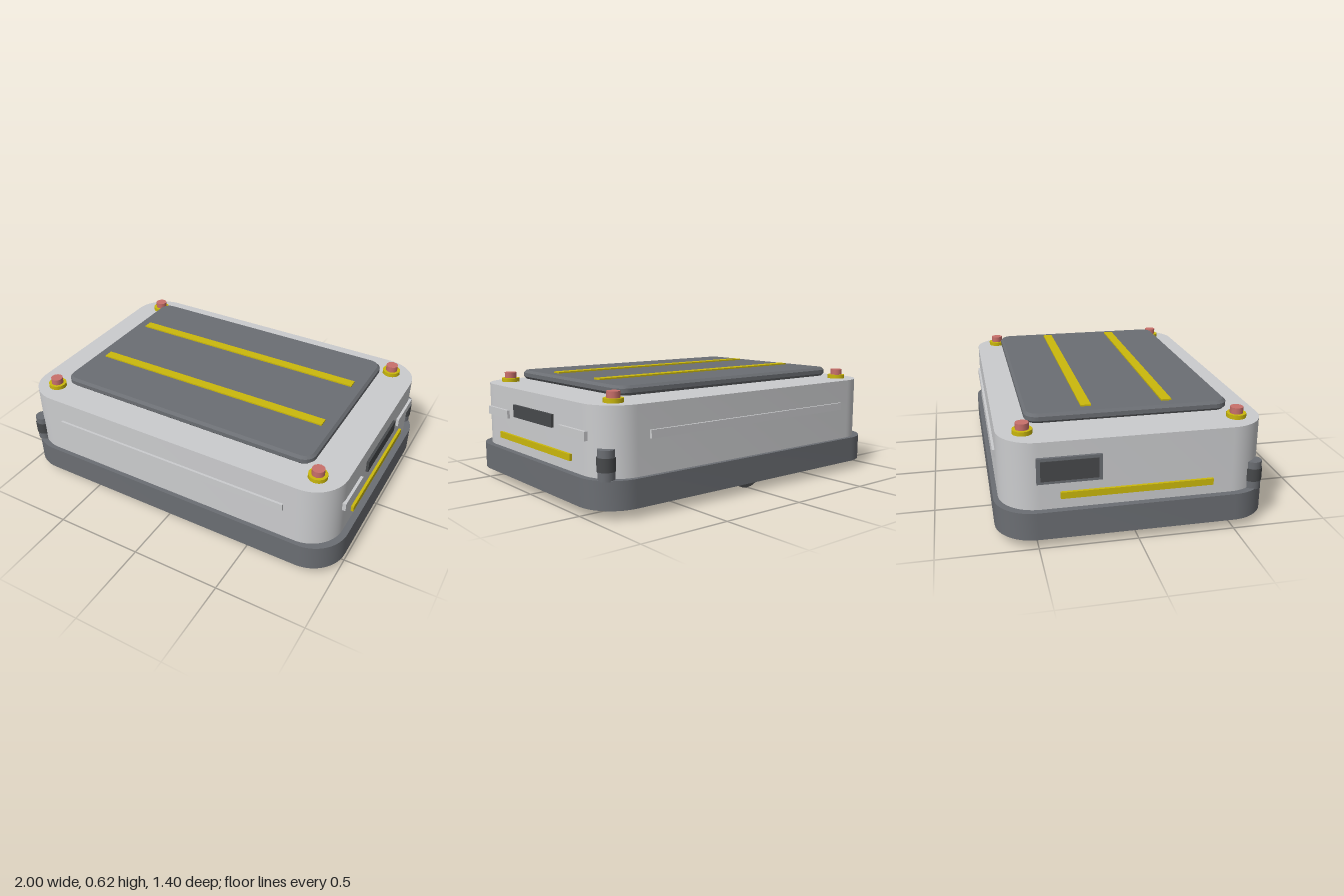
import * as THREE from 'three';
import { toCreasedNormals } from 'three/addons/utils/BufferGeometryUtils.js';

const material = (name, color) => {
  const m = new THREE.MeshStandardMaterial({ color });
  m.name = name;
  return m;
};

// Rounded rectangle slab lying flat, from y0 to y1, with an optional chamfer
function slab(hx, hz, radius, y0, y1, bevel = 0) {
  const x = hx - bevel, z = hz - bevel, r = radius - bevel;
  const s = new THREE.Shape();
  s.absarc(x - r, z - r, r, 0, Math.PI / 2);
  s.absarc(r - x, z - r, r, Math.PI / 2, Math.PI);
  s.absarc(r - x, r - z, r, Math.PI, Math.PI * 1.5);
  s.absarc(x - r, r - z, r, Math.PI * 1.5, Math.PI * 2);
  s.closePath();
  const g = new THREE.ExtrudeGeometry(s, {
    depth: y1 - y0 - 2 * bevel, curveSegments: 8,
    bevelEnabled: bevel > 0, bevelSize: bevel, bevelThickness: bevel, bevelSegments: 1,
  });
  g.rotateX(-Math.PI / 2).translate(0, y0 + bevel, 0);
  return toCreasedNormals(g, 0.5);
}

export function createModel() {
  const root = new THREE.Group();
  root.name = 'transportRobot';
  const shell = material('light grey', 0xcbccce);
  const grey = material('slate grey', 0x6b6e73);
  const black = material('charcoal', 0x47494b);
  const yellow = material('yellow', 0xcbb80c);
  const red = material('soft red', 0xc9706b);

  const add = (name, geometry, mat) => {
    const mesh = new THREE.Mesh(geometry, mat);
    mesh.name = name;
    root.add(mesh);
    return mesh;
  };
  // Box given by its lower and upper limits
  const box = (name, mat, x0, x1, y0, y1, z0, z1) =>
    add(name, new THREE.BoxGeometry(x1 - x0, y1 - y0, z1 - z0), mat)
      .position.set((x0 + x1) / 2, (y0 + y1) / 2, (z0 + z1) / 2);
  // Upright cylinder from y0 to y1
  const post = (name, mat, r, x, z, y0, y1, sides = 16) =>
    add(name, new THREE.CylinderGeometry(r, r, y1 - y0, sides), mat)
      .position.set(x, (y0 + y1) / 2, z);

  // Main volumes
  add('base', slab(1, 0.7, 0.2, 0.05, 0.195), grey);
  add('body', slab(0.965, 0.675, 0.19, 0.195, 0.545), shell);
  add('liftDeck', slab(0.775, 0.525, 0.07, 0.563, 0.613, 0.014), grey);

  for (const sz of [-1, 1]) {
    box('deckStripe', yellow, -0.705, 0.705, 0.608, 0.621, sz * 0.21 - 0.027, sz * 0.21 + 0.027);
    box('sideBar', shell, -0.705, 0.705, 0.374, 0.416, sz * 0.679 - 0.009, sz * 0.679 + 0.009);
    box('endLight', shell, 0.955, 0.98, 0.37, 0.416, sz * 0.405 - 0.12, sz * 0.405 + 0.12);

    // Drive wheel, mostly hidden in the base
    const wheel = add('driveWheel', new THREE.CylinderGeometry(0.125, 0.125, 0.086, 24), black);
    wheel.rotation.x = Math.PI / 2;
    wheel.position.set(0, 0.127, sz * 0.578);

    for (const sx of [-1, 1]) {
      post('liftPost', shell, 0.042, sx * 0.44, sz * 0.262, 0.54, 0.57);
      post('beaconBase', yellow, 0.051, sx * 0.825, sz * 0.545, 0.54, 0.567, 12);
      post('beaconLamp', red, 0.034, sx * 0.825, sz * 0.545, 0.56, 0.6, 12);
      const caster = add('caster', new THREE.CylinderGeometry(0.046, 0.046, 0.05, 12), black);
      caster.rotation.x = Math.PI / 2;
      caster.position.set(sx * 0.702, 0.05, sz * 0.474);
    }
  }

  // Bumper strips on both ends
  for (const sx of [-1, 1]) {
    box('bumperStrip', yellow, sx * 0.968 - 0.012, sx * 0.968 + 0.012, 0.25, 0.284, -0.385, 0.385);
  }

  // Sensor window on one end, framed screen on the other
  box('sensorWindow', black, 0.955, 0.979, 0.39, 0.458, -0.21, 0.21);
  box('screenFrame', grey, -0.98, -0.955, 0.335, 0.468, -0.5, -0.18);
  box('screenPanel', black, -0.984, -0.978, 0.35, 0.453, -0.482, -0.198);

  // Scanners on two opposite corners
  for (const s of [-1, 1]) {
    post('scannerHousing', grey, 0.043, s * 0.918, -s * 0.616, 0.19, 0.34);
    post('scannerBand', black, 0.047, s * 0.918, -s * 0.616, 0.235, 0.303);
  }
  return root;
}
